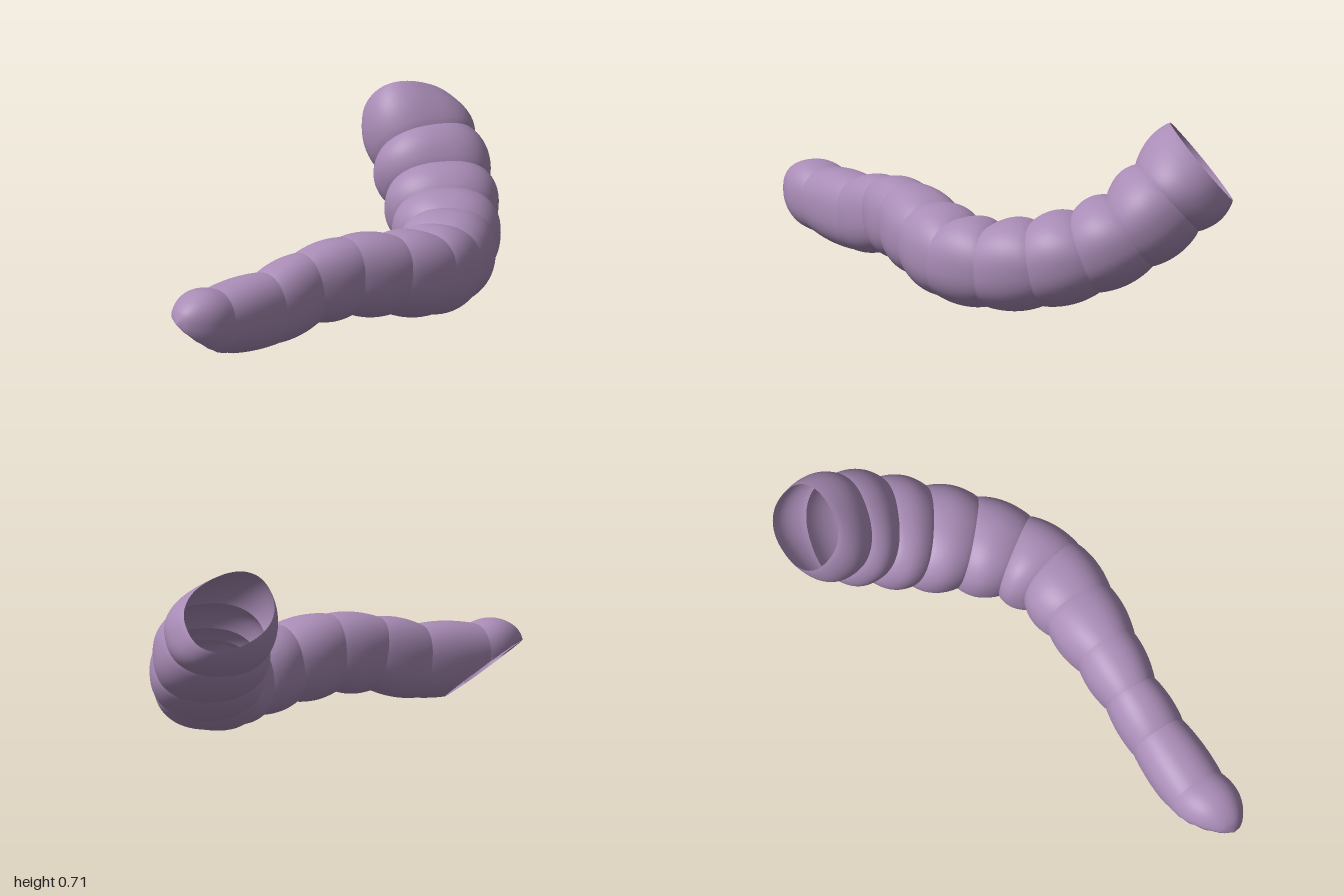
import * as THREE from 'three';

const AROUND = 64, ALONG = 18;
const V3 = (x, y, z) => new THREE.Vector3(x, y, z);

// Creases from the front to the back: centre x, y, z, half width, half height
const CREASES = [
  [0.29, 0.163, 0.78, 0.116, 0.124],
  [0.295, 0.17, 0.52, 0.11, 0.138],
  [0.3, 0.217, 0.33, 0.105, 0.137],
  [0.318, 0.235, 0.15, 0.122, 0.145],
  [0.333, 0.212, -0.05, 0.142, 0.147],
  [0.333, 0.183, -0.23, 0.152, 0.152],
  [0.265, 0.177, -0.38, 0.157, 0.153],
  [0.145, 0.2, -0.52, 0.173, 0.158],
  [0.0, 0.25, -0.63, 0.188, 0.155],
  [-0.135, 0.335, -0.72, 0.193, 0.153],
  [-0.267, 0.455, -0.77, 0.195, 0.162],
];

// Slanted cut that opens the front end
const TIP = V3(0.31, 0.19, 1);
const CUT = V3(-0.49, -0.77, 0.4);
const beyondCut = (p) => (p.z > 0.5 ? CUT.dot(p.clone().sub(TIP)) : -1);

// Rounded square cross-section
function sectionPoint(ring, j, scale) {
  const a = (j / AROUND) * Math.PI * 2;
  const soft = (v) => Math.sign(v) * Math.pow(Math.abs(v), 0.86);
  return ring.c.clone()
    .addScaledVector(ring.w, soft(Math.cos(a)) * scale)
    .addScaledVector(ring.h, soft(Math.sin(a)) * scale);
}

// One bulging skin segment between two rings
function segmentGeometry(a, b, scaleAt) {
  const points = [], cut = [], index = [];
  for (let i = 0; i <= ALONG; i++) {
    const t = i / ALONG;
    const ring = { c: a.c.clone().lerp(b.c, t), w: a.w.clone().lerp(b.w, t), h: a.h.clone().lerp(b.h, t) };
    for (let j = 0; j < AROUND; j++) {
      const p = sectionPoint(ring, j, scaleAt(t));
      const d = beyondCut(p);
      cut.push(d > 0);
      if (d > 0) p.z -= d / CUT.z;
      points.push(p);
    }
  }
  const face = (...ids) => { if (!ids.every((k) => cut[k])) index.push(...ids); };
  for (let i = 0; i < ALONG; i++) {
    for (let j = 0; j < AROUND; j++) {
      const k = (j + 1) % AROUND;
      const p = i * AROUND + j, q = i * AROUND + k;
      const r = p + AROUND, s = q + AROUND;
      face(p, r, q);
      face(q, r, s);
    }
  }
  const g = new THREE.BufferGeometry().setFromPoints(points);
  g.setIndex(index);
  g.computeVertexNormals();
  return g;
}

export function createModel() {
  const group = new THREE.Group();
  group.name = 'segmentedTube';
  const skin = new THREE.MeshStandardMaterial({ color: 0xa98cb6, side: THREE.DoubleSide });
  skin.name = 'mauve';

  const add = (name, geometry) => {
    const m = new THREE.Mesh(geometry, skin);
    m.name = name;
    group.add(m);
  };

  // Rings stand square to the path
  const centres = CREASES.map(([x, y, z]) => V3(x, y, z));
  const rings = CREASES.map(([, , , hw, hh], i) => {
    const next = centres[i + 1] || V3(-0.4, 0.58, -0.8);
    const dir = next.clone().sub(centres[Math.max(i - 1, 0)]).normalize();
    const w = dir.clone().cross(V3(0, 1, 0)).normalize();
    const h = w.clone().cross(dir);
    return { c: centres[i], w: w.multiplyScalar(hw), h: h.multiplyScalar(hh) };
  });
  // Tilted open rim at the back
  rings.push({ c: V3(-0.4, 0.585, -0.8), w: V3(0.02, -0.06, -0.175), h: V3(0.1, 0.113, 0) });

  // Domed front, opened below by the cut
  const tipRing = { c: TIP, w: rings[0].w, h: rings[0].h };
  add('frontTip', segmentGeometry(tipRing, rings[0], (t) =>
    Math.sqrt(1 - (1 - t) ** 2) * (1 + 0.1 * Math.sin(Math.PI * t))));

  // Body segments, swelling more towards the back
  for (let i = 0; i < rings.length - 1; i++) {
    const swell = 0.08 + 0.007 * i;
    add(i === rings.length - 2 ? 'backMouth' : `bodySegment${i + 1}`,
      segmentGeometry(rings[i], rings[i + 1], (t) =>
        1 + swell * Math.pow(Math.max(0, Math.sin(Math.PI * t)), 0.8)));
  }
  return group;
}
